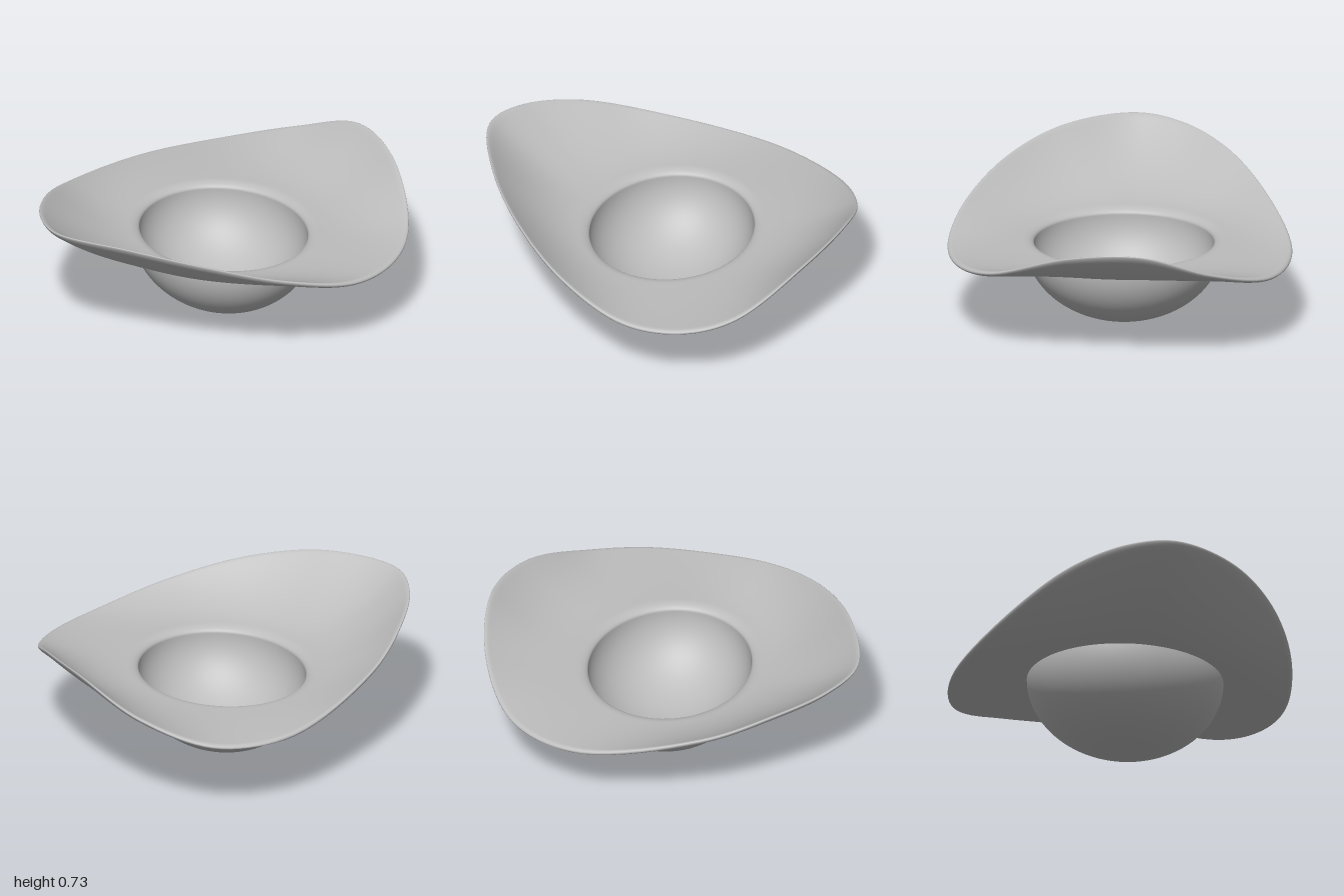
import * as THREE from 'three';

const SEG = 128;
const CX = 0.05, CZ = -0.02; // bowl centre

// Skin a surface through closed rings of points: point(i, j) for ring j, step i
function skin(name, rings, point, material) {
  const pos = [], index = [];
  for (let j = 0; j < rings; j++)
    for (let i = 0; i < SEG; i++) pos.push(...point(i, j));
  for (let j = 0; j < rings - 1; j++)
    for (let i = 0; i < SEG; i++) {
      const n = (i + 1) % SEG;
      const a = j * SEG + i, b = j * SEG + n, c = a + SEG, d = b + SEG;
      index.push(a, b, c, b, d, c);
    }
  const geo = new THREE.BufferGeometry();
  geo.setAttribute('position', new THREE.Float32BufferAttribute(pos, 3));
  geo.setIndex(index);
  geo.computeVertexNormals();
  const mesh = new THREE.Mesh(geo, material);
  mesh.name = name;
  return mesh;
}

export function createModel() {
  const group = new THREE.Group();
  group.name = 'wavyBrimBowl';
  const grey = new THREE.MeshStandardMaterial({ color: 0xbcbcbc });
  grey.name = 'plain grey';

  // Upper edge of the wavy brim, going round from the left side
  const edge = new THREE.CatmullRomCurve3([
    [1, -0.12, 0.675], [0.945, 0.25, 0.645], [0.73, 0.65, 0.485], [0.5, 0.82, 0.44],
    [0.2, 0.882, 0.447], [-0.18, 0.8, 0.545], [-0.54, 0.59, 0.66], [-0.82, 0.3, 0.73],
    [-1, -0.06, 0.73], [-0.93, -0.29, 0.71], [-0.72, -0.52, 0.655], [-0.4, -0.72, 0.55],
    [0.22, -0.886, 0.425], [0.62, -0.775, 0.427], [0.885, -0.475, 0.54],
  ].map(([x, z, y]) => new THREE.Vector3(x, y, z)), true);
  const rim = Array.from({ length: SEG }, (_, i) => edge.getPoint(i / SEG));

  // Brim: out along the top, round the lip, back along the underside
  const A = 0.413, B = 0.462, N = 44, HALF = 0.015, ROLL = 0.06;
  group.add(skin('brim', 2 * N + 1, (i, j) => {
    const r = rim[i];
    const ang = Math.atan2((r.z - CZ) / B, (r.x - CX) / A);
    const hx = CX + A * Math.cos(ang), hz = CZ + B * Math.sin(ang);
    const t = 0.5 - 0.5 * Math.cos(Math.PI * j / N);
    const top = j <= N;
    const x = hx + (r.x - hx) * t, z = hz + (r.z - hz) * t;
    // Flat near the bowl, curling up towards the edge
    const power = 2.1 + 0.3 * r.x;
    const mid = 0.415 + (r.y - 0.01 - 0.415) * Math.pow(t, power);
    const e = Math.max(0, (t - 0.95) / 0.05);
    const half = HALF * Math.sqrt(Math.max(0, 1 - e * e));
    let y = top ? mid + half : Math.max(0.4, mid - half);
    // Soft roll down into the bowl
    const d = t * Math.hypot(r.x - hx, r.z - hz) / ROLL;
    if (top && d < 1) y -= 0.03 * (1 - Math.sqrt(1 - (1 - d) ** 2));
    return [x, y, z];
  }, grey));

  // Half-ellipsoid shells of the bowl
  const shell = (name, a, b, topY, depth, outside) => skin(name, 41, (i, j) => {
    const th = i / SEG * Math.PI * 2;
    const p = (outside ? 40 - j : j) / 40 * Math.PI / 2;
    return [
      CX + a * Math.sin(p) * Math.cos(th),
      topY - depth * Math.cos(p),
      CZ + b * Math.sin(p) * Math.sin(th),
    ];
  }, grey);
  group.add(shell('bowlInside', A, B, 0.4, 0.36, false));
  group.add(shell('bowlOutside', 0.458, 0.508, 0.402, 0.402, true));

  return group;
}
